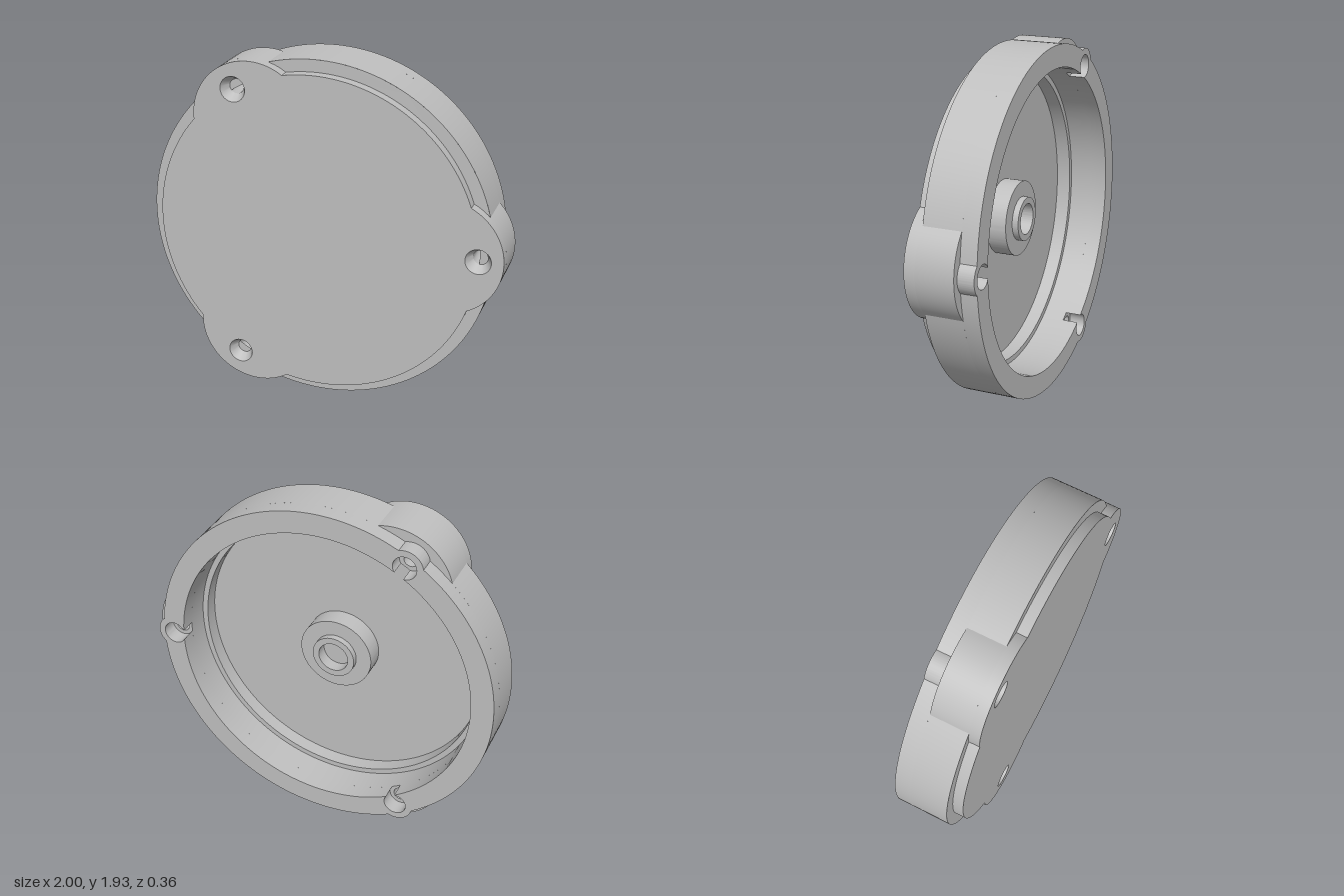
import * as THREE from 'three';
import { toCreasedNormals } from 'three/addons/utils/BufferGeometryUtils.js';

const THIRD = Math.PI * 2 / 3;
const BACK = -0.18, LUG_BACK = -0.09, LEDGE = 0.12, FRONT = 0.18;
const RIM = 0.967, PLATE = 0.9, BORE = 0.843, SCREW_DIST = 0.9, SCREW_R = 0.04, SINK_R = 0.07;

// Counter-clockwise outline of a disc joined with three smaller discs spaced around it
function lobedOutline(R, dist, r) {
  const a = (dist * dist + R * R - r * r) / (2 * dist);
  const h = Math.sqrt(R * R - a * a);
  const phi = Math.atan2(h, a), psi = Math.atan2(h, a - dist);
  const points = [];
  const arc = (cx, cy, radius, from, to, n) => {
    for (let i = 0; i < n; i++) {
      const t = from + (to - from) * i / n;
      points.push(new THREE.Vector2(cx + radius * Math.cos(t), cy + radius * Math.sin(t)));
    }
  };
  for (let k = 0; k < 3; k++) {
    const t = k * THIRD;
    arc(dist * Math.cos(t), dist * Math.sin(t), r, t - psi, t + psi, 32);
    arc(0, 0, R, t + phi, t + THIRD - phi, 48);
  }
  return points;
}

// Straight wall along a closed outline; a reversed outline faces inward
function wall(points, z0, z1) {
  const v = [];
  points.forEach((p, i) => {
    const q = points[(i + 1) % points.length];
    v.push(p.x, p.y, z0, q.x, q.y, z0, q.x, q.y, z1, p.x, p.y, z0, q.x, q.y, z1, p.x, p.y, z1);
  });
  const geo = new THREE.BufferGeometry();
  geo.setAttribute('position', new THREE.Float32BufferAttribute(v, 3));
  return toCreasedNormals(geo, 0.4);
}

// Flat face with holes, turned to the front or the back
function cap(points, holes, z, toBack) {
  const shape = new THREE.Shape(points);
  shape.holes = holes.map((h) => new THREE.Path(h));
  const geo = new THREE.ShapeGeometry(shape, 24);
  if (toBack) geo.index.array.reverse();
  geo.computeVertexNormals();
  return geo.translate(0, 0, z);
}

// Turned surface about the z axis from [radius, z] pairs
function turned(profile, segments) {
  const geo = new THREE.LatheGeometry(profile.map(([r, z]) => new THREE.Vector2(r, z)), segments);
  return toCreasedNormals(geo.rotateX(Math.PI / 2), 0.4);
}

function circle(x, y, r, n) {
  return Array.from({ length: n }, (_, i) => {
    const t = i / n * Math.PI * 2;
    return new THREE.Vector2(x + r * Math.cos(t), y + r * Math.sin(t));
  });
}

export function createModel() {
  const model = new THREE.Group();
  model.name = 'roundCover';
  const grey = new THREE.MeshStandardMaterial({ color: 0xbfbfbf });
  grey.name = 'plain grey';
  const add = (name, geo) => {
    const mesh = new THREE.Mesh(geo, grey);
    mesh.name = name;
    model.add(mesh);
    return mesh;
  };

  const bossOutline = lobedOutline(RIM, SCREW_DIST, 0.1);
  const lugOutline = lobedOutline(RIM, 0.709, 0.326);
  const plateOutline = lobedOutline(PLATE, 0.709, 0.326);
  const boreOutline = lobedOutline(BORE, SCREW_DIST, 0.064);
  const screwCentres = [0, 1, 2].map((k) =>
    [SCREW_DIST * Math.cos(k * THIRD), SCREW_DIST * Math.sin(k * THIRD)]);
  const screwHoles = (r) => screwCentres.map(([x, y]) => circle(x, y, r, 32));

  // Outer body: rim with screw bosses at the back, wide lugs in front
  add('bossWall', wall(bossOutline, BACK, LUG_BACK));
  add('lugWall', wall(lugOutline, LUG_BACK, LEDGE));
  add('plateWall', wall(plateOutline, LEDGE, FRONT));
  add('rimBackFace', cap(bossOutline, [boreOutline], BACK, true));
  add('lugBackFace', cap(lugOutline, [circle(0, 0, BORE, 144), ...screwHoles(SCREW_R)], LUG_BACK, true));
  add('rimFrontLedge', cap(circle(0, 0, RIM, 144), [circle(0, 0, PLATE - 0.005, 144)], LEDGE, false));
  add('frontPlate', cap(plateOutline, screwHoles(SINK_R), FRONT, false));

  // Inside: bore opened into the screw sockets, then the stepped cavity with its hub
  add('boreWall', wall([...boreOutline].reverse(), BACK, LUG_BACK));
  add('cavityAndHub', turned([
    [0, 0.045], [0.086, 0.045], [0.086, -0.025], [0.122, -0.025], [0.122, 0.01],
    [0.208, 0.01], [0.208, LEDGE], [0.812, LEDGE], [0.812, 0.04], [BORE, 0.04], [BORE, LUG_BACK],
  ], 144));

  // Countersunk screw holes
  const screwHole = turned([[SINK_R, FRONT], [SCREW_R, LEDGE], [SCREW_R, LUG_BACK]], 32);
  screwCentres.forEach(([x, y]) => add('screwHole', screwHole).position.set(x, y, 0));

  model.position.set(-0.035, RIM, 0);
  const root = new THREE.Group();
  root.name = 'cover';
  root.add(model);
  return root;
}
